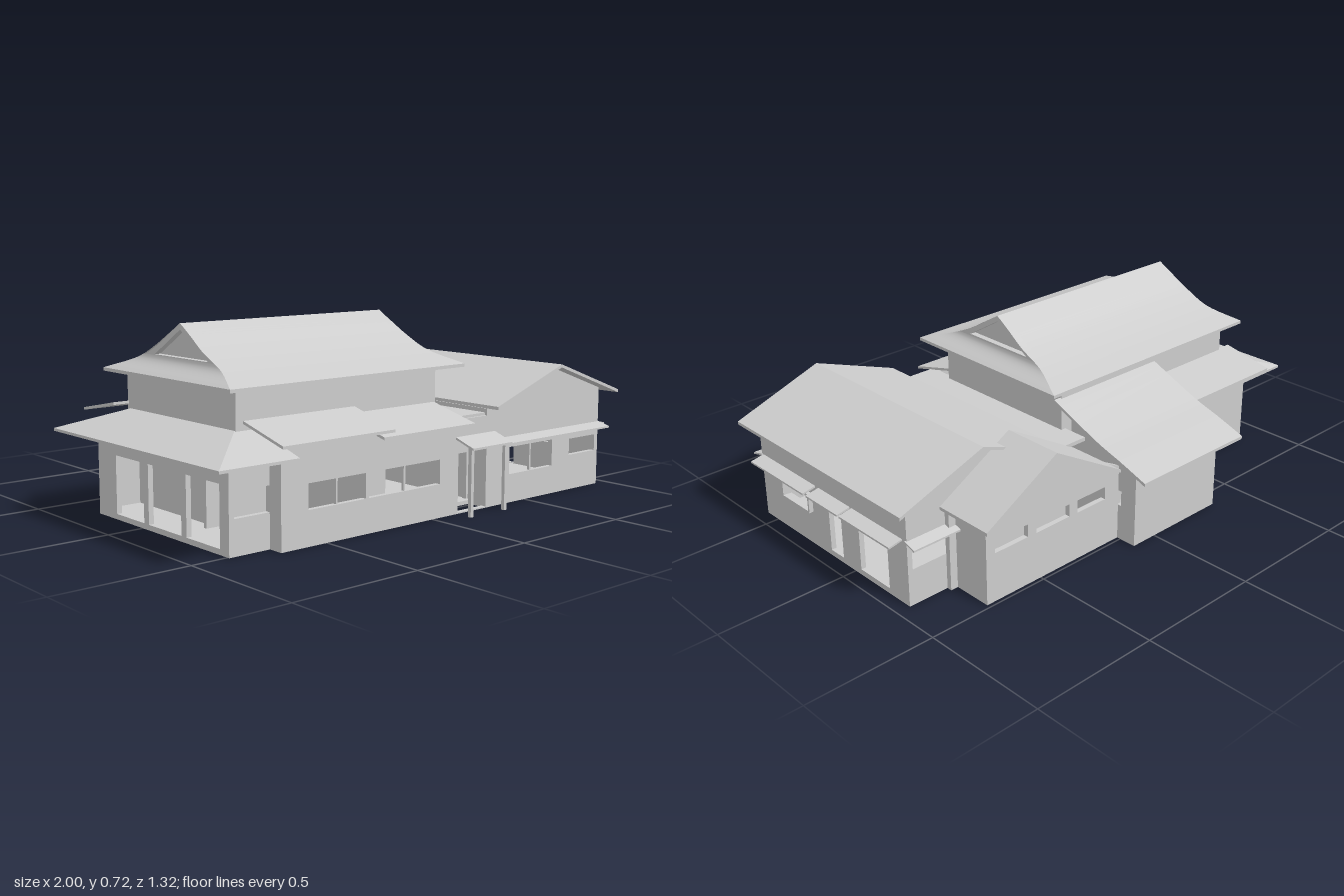
import * as THREE from 'three';

const plaster = new THREE.MeshStandardMaterial({ color: 0xcccccc, side: THREE.DoubleSide });
plaster.name = 'pale grey';

export function createModel() {
  const house = new THREE.Group();
  house.name = 'house';
  const add = (name, geo) => {
    const m = new THREE.Mesh(geo, plaster);
    m.name = name;
    house.add(m);
    return m;
  };

  // Box given by its limits on each axis
  const box = (name, x0, x1, y0, y1, z0, z1) =>
    add(name, new THREE.BoxGeometry(x1 - x0, y1 - y0, z1 - z0))
      .position.set((x0 + x1) / 2, (y0 + y1) / 2, (z0 + z1) / 2);

  // Thin slab below four top corners (counter-clockwise from above)
  const slab = (name, corners, t = 0.01) => {
    const top = corners.map((c) => new THREE.Vector3(...c));
    const low = top.map((v) => v.clone().setY(v.y - t));
    const pts = [];
    const quad = (a, b, c, d) => pts.push(a, b, c, a, c, d);
    quad(...top);
    quad(low[3], low[2], low[1], low[0]);
    for (let i = 0; i < 4; i++) {
      const j = (i + 1) % 4;
      quad(low[i], low[j], top[j], top[i]);
    }
    const g = new THREE.BufferGeometry().setFromPoints(pts);
    g.computeVertexNormals();
    return add(name, g);
  };
  // Pitched slabs, running along x or along z
  const pitchZ = (name, x0, x1, zLow, yLow, zHigh, yHigh, t) => {
    const c = [[x0, yLow, zLow], [x1, yLow, zLow], [x1, yHigh, zHigh], [x0, yHigh, zHigh]];
    return slab(name, zLow > zHigh ? c : c.reverse(), t);
  };
  const pitchX = (name, z0, z1, xLow, yLow, xHigh, yHigh, t) => {
    const c = [[xLow, yLow, z0], [xLow, yLow, z1], [xHigh, yHigh, z1], [xHigh, yHigh, z0]];
    return slab(name, xLow < xHigh ? c : c.reverse(), t);
  };

  // Wall between two plan points; openings are [start, end, bottom, top], peak is [at, height]
  const T = 0.02;
  const wall = (name, x0, z0, x1, z1, hStart, hEnd, openings = [], peak = null) => {
    const len = Math.hypot(x1 - x0, z1 - z0);
    const outline = [[0, 0], [len, 0], [len, hEnd]];
    if (peak) outline.push(peak);
    outline.push([0, hStart]);
    const shape = new THREE.Shape(outline.map((p) => new THREE.Vector2(...p)));
    const group = new THREE.Group();
    group.name = name;
    for (const [a, b, c, d] of openings) {
      shape.holes.push(new THREE.Path([[a, c], [a, d], [b, d], [b, c]].map((p) => new THREE.Vector2(...p))));
      if (c > 0.1 && b - a > 0.2) {
        const bar = new THREE.Mesh(new THREE.BoxGeometry(0.008, d - c, 0.01), plaster);
        bar.name = 'windowBar';
        bar.position.set((a + b) / 2, (c + d) / 2, 0);
        group.add(bar);
      }
    }
    const geo = new THREE.ExtrudeGeometry(shape, { depth: T, bevelEnabled: false }).translate(0, 0, -T / 2);
    const panel = new THREE.Mesh(geo, plaster);
    panel.name = name + 'Panel';
    group.add(panel);
    group.position.set(x0, 0, z0);
    group.rotation.y = Math.atan2(-(z1 - z0), x1 - x0);
    house.add(group);
  };

  // Floors
  box('mainFloor', -0.86, 0.3, 0.005, 0.02, -0.29, 0.5);
  box('frontFloor', -0.685, 0.12, 0.005, 0.02, 0.5, 0.57);
  box('wingFloor', 0.28, 0.945, 0.005, 0.02, -0.3, 0.57);
  box('backWingFloor', 0.11, 0.75, 0.005, 0.02, -0.475, -0.28);
  box('annexFloor', -0.34, 0.11, 0.005, 0.02, -0.57, -0.28);

  // Main block walls
  wall('frontWall', -0.685, 0.56, 0.12, 0.56, 0.355, 0.345,
    [[0.105, 0.36, 0.125, 0.215], [0.375, 0.72, 0.125, 0.215]]);
  wall('cornerWall', -0.86, 0.5, -0.685, 0.5, 0.345, 0.365, [[0.015, 0.165, 0.125, 0.215]]);
  wall('cornerReturn', -0.685, 0.5, -0.685, 0.57, 0.355, 0.34);
  wall('verandaWall', -0.85, -0.29, -0.85, 0.51, 0.345, 0.345,
    [[0.12, 0.3, 0.02, 0.235], [0.33, 0.53, 0.02, 0.235], [0.56, 0.75, 0.02, 0.235]]);
  wall('mainBackWall', -0.86, -0.28, -0.33, -0.28, 0.345, 0.39);
  wall('entranceSide', 0.12, 0.57, 0.12, 0.46, 0.345, 0.345);
  wall('entranceWall', 0.12, 0.47, 0.3, 0.47, 0.35, 0.35, [[0.03, 0.15, 0.02, 0.2]]);
  wall('entranceLintel', 0.12, 0.56, 0.3, 0.56, 0.35, 0.35, [[0.005, 0.175, 0.005, 0.24]]);

  // Interior partitions
  box('corridorPartition', -0.74, 0.1, 0.02, 0.33, 0.2, 0.215);
  box('roomPartition', -0.3, -0.285, 0.02, 0.33, -0.28, 0.55);
  box('verandaPartition', -0.7, -0.685, 0.02, 0.33, -0.28, 0.2);
  box('wingPartition', 0.3, 0.74, 0.02, 0.33, 0.2, 0.215);

  // Right wing walls under the large gable
  wall('wingFrontWall', 0.3, 0.56, 0.945, 0.56, 0.385, 0.395,
    [[0.11, 0.36, 0.11, 0.215], [0.465, 0.625, 0.14, 0.205]], [0.34, 0.503]);
  wall('wingBackWall', 0.3, -0.3, 0.945, -0.3, 0.385, 0.395, [[0.465, 0.625, 0.14, 0.205]], [0.34, 0.503]);
  wall('wingSideWall', 0.935, 0.57, 0.935, -0.3, 0.395, 0.395,
    [[0.15, 0.32, 0.14, 0.21], [0.425, 0.5, 0.022, 0.225], [0.605, 0.77, 0.022, 0.225]]);
  wall('wingInnerWall', 0.29, 0.57, 0.29, -0.3, 0.375, 0.375);

  // Large gable roof
  for (const x of [0.28, 1.0]) {
    pitchX('wingRoof', -0.355, 0.625, x, 0.388, 0.64, 0.517, 0.012);
  }

  // Back wing with its own gable
  wall('backWingWall', 0.11, -0.475, 0.75, -0.475, 0.3, 0.35,
    [[0.07, 0.21, 0.19, 0.24], [0.25, 0.41, 0.19, 0.24], [0.45, 0.6, 0.19, 0.24]], [0.375, 0.495]);
  wall('backWingSide', 0.74, -0.475, 0.74, -0.3, 0.35, 0.35);
  wall('backWingInnerGable', 0.2, -0.32, 0.78, -0.32, 0.34, 0.335, [], [0.285, 0.495]);
  for (const x of [0.17, 0.8]) {
    pitchX('backWingRoof', -0.55, -0.31, x, 0.332, 0.485, 0.512, 0.012);
  }

  // Annex at the back with a concave lean-to roof
  wall('annexBackWall', -0.34, -0.56, 0.11, -0.56, 0.335, 0.335);
  wall('annexLeftWall', -0.33, -0.57, -0.33, -0.24, 0.335, 0.44, [[0.1, 0.21, 0.14, 0.26]]);
  wall('annexRightWall', 0.1, -0.57, 0.1, -0.24, 0.335, 0.44, [[0.07, 0.09, 0.14, 0.2]]);
  const sweep = new THREE.SplineCurve([[-0.665, 0.32], [-0.55, 0.36], [-0.42, 0.402], [-0.21, 0.49]]
    .map((p) => new THREE.Vector2(...p))).getPoints(14);
  const under = sweep.map((p) => new THREE.Vector2(p.x, p.y - 0.012)).reverse();
  const annexShape = new THREE.Shape([...sweep, ...under]);
  const annexRoof = add('annexRoof', new THREE.ExtrudeGeometry(annexShape, { depth: 0.54, bevelEnabled: false }));
  annexRoof.rotation.y = -Math.PI / 2;
  annexRoof.position.x = 0.17;

  // Upper storey and lower skirt roofs
  box('upperStorey', -0.775, 0.14, 0.33, 0.535, -0.217, 0.437);
  slab('leftSkirtRoof', [[-1, 0.325, -0.36], [-1, 0.325, 0.655], [-0.775, 0.393, 0.43], [-0.775, 0.393, -0.2]]);
  slab('frontSkirtRoof', [[-1, 0.325, 0.655], [-0.685, 0.325, 0.655], [-0.685, 0.393, 0.43], [-0.775, 0.393, 0.43]]);
  slab('backSkirtRoof', [[-0.37, 0.325, -0.36], [-1, 0.325, -0.36], [-0.775, 0.393, -0.2], [-0.37, 0.393, -0.2]]);
  pitchZ('raisedFrontRoof', -0.745, -0.26, 0.645, 0.368, 0.43, 0.425);
  pitchZ('frontRoof', -0.31, 0.135, 0.645, 0.346, 0.43, 0.402);
  pitchZ('raisedBackRoof', -0.84, -0.37, -0.42, 0.378, -0.21, 0.42);
  box('valleyRoof', 0.12, 0.3, 0.345, 0.36, -0.32, 0.56);

  // Porch
  pitchZ('porchRoof', 0.115, 0.325, 0.657, 0.257, 0.555, 0.292, 0.008);
  for (const x of [0.13, 0.31]) box('porchPost', x - 0.007, x + 0.007, 0, 0.255, 0.628, 0.642);

  // Small canopies round the right wing
  pitchZ('frontCanopy', 0.325, 0.95, 0.622, 0.243, 0.565, 0.258, 0.007);
  pitchZ('backCanopy', 0.75, 0.95, -0.355, 0.243, -0.305, 0.258, 0.007);
  for (const [z0, z1] of [[0.22, 0.56], [0.01, 0.2], [-0.285, 0]]) {
    pitchX('sideCanopy', z0, z1, 1.0, 0.245, 0.94, 0.257, 0.007);
  }
  for (const y of [0.14, 0.21]) box('sideWindowLedge', 0.94, 0.962, y - 0.004, y + 0.004, 0.25, 0.42);
  for (const z of [0.25, 0.42]) box('sideWindowJamb', 0.94, 0.962, 0.14, 0.21, z - 0.004, z + 0.004);

  // Hip-and-gable main roof: points are half length, height, distance from ridge
  const roof = new THREE.Group();
  roof.name = 'mainRoof';
  roof.position.set(-0.31, 0, 0.12);
  house.add(roof);
  const addRoof = (name, geo) => {
    const m = new THREE.Mesh(geo, plaster);
    m.name = name;
    roof.add(m);
    return m;
  };
  const profile = [[0.46, 0.722, 0], [0.464, 0.68, 0.07], [0.47, 0.635, 0.145], [0.476, 0.587, 0.25], [0.535, 0.542, 0.385]];
  const rows = new THREE.CatmullRomCurve3(profile.map((p) => new THREE.Vector3(...p))).getPoints(24);
  for (const s of [1, -1]) {
    const pts = [];
    const index = [];
    rows.forEach((r, i) => {
      pts.push(new THREE.Vector3(-r.x * s, r.y, r.z * s), new THREE.Vector3(r.x * s, r.y, r.z * s));
      const k = i * 2;
      if (i < rows.length - 1) index.push(k, k + 2, k + 3, k, k + 3, k + 1);
    });
    const slope = new THREE.BufferGeometry().setFromPoints(pts);
    slope.setIndex(index);
    slope.computeVertexNormals();
    addRoof('mainSlope', slope);

    // Hip below the gable, following the same curve
    const lower = rows.filter((r) => r.z > 0.2);
    const hipPts = [];
    const hipIndex = [];
    lower.forEach((r, i) => {
      hipPts.push(new THREE.Vector3(r.x * s, r.y, r.z * s), new THREE.Vector3(r.x * s, r.y, -r.z * s));
      const k = i * 2;
      if (i < lower.length - 1) hipIndex.push(k, k + 2, k + 3, k, k + 3, k + 1);
    });
    const hip = new THREE.BufferGeometry().setFromPoints(hipPts);
    hip.setIndex(hipIndex);
    hip.computeVertexNormals();
    addRoof('hipSlope', hip);

    // Gable fascia with a recessed triangle
    const upper = rows.filter((r) => r.z < 0.25);
    const rim = [...upper.map((r) => new THREE.Vector2(r.z, r.y)),
      ...upper.slice(1).reverse().map((r) => new THREE.Vector2(-r.z, r.y))];
    const fascia = new THREE.Shape(rim);
    const tri = [[-0.16, 0.603], [0, 0.7], [0.16, 0.603]].map((p) => new THREE.Vector2(...p));
    fascia.holes.push(new THREE.Path(tri));
    const f = addRoof('gableFascia', new THREE.ExtrudeGeometry(fascia, { depth: 0.025, bevelEnabled: false }));
    f.rotation.y = s * Math.PI / 2;
    f.position.x = s * 0.436;
    const g = addRoof('gableWall', new THREE.ShapeGeometry(new THREE.Shape(tri)));
    g.rotation.y = s * Math.PI / 2;
    g.position.x = s * 0.437;
  }
  const eaves = addRoof('eavesBoard', new THREE.BoxGeometry(1.07, 0.012, 0.77));
  eaves.position.y = 0.536;

  return house;
}
